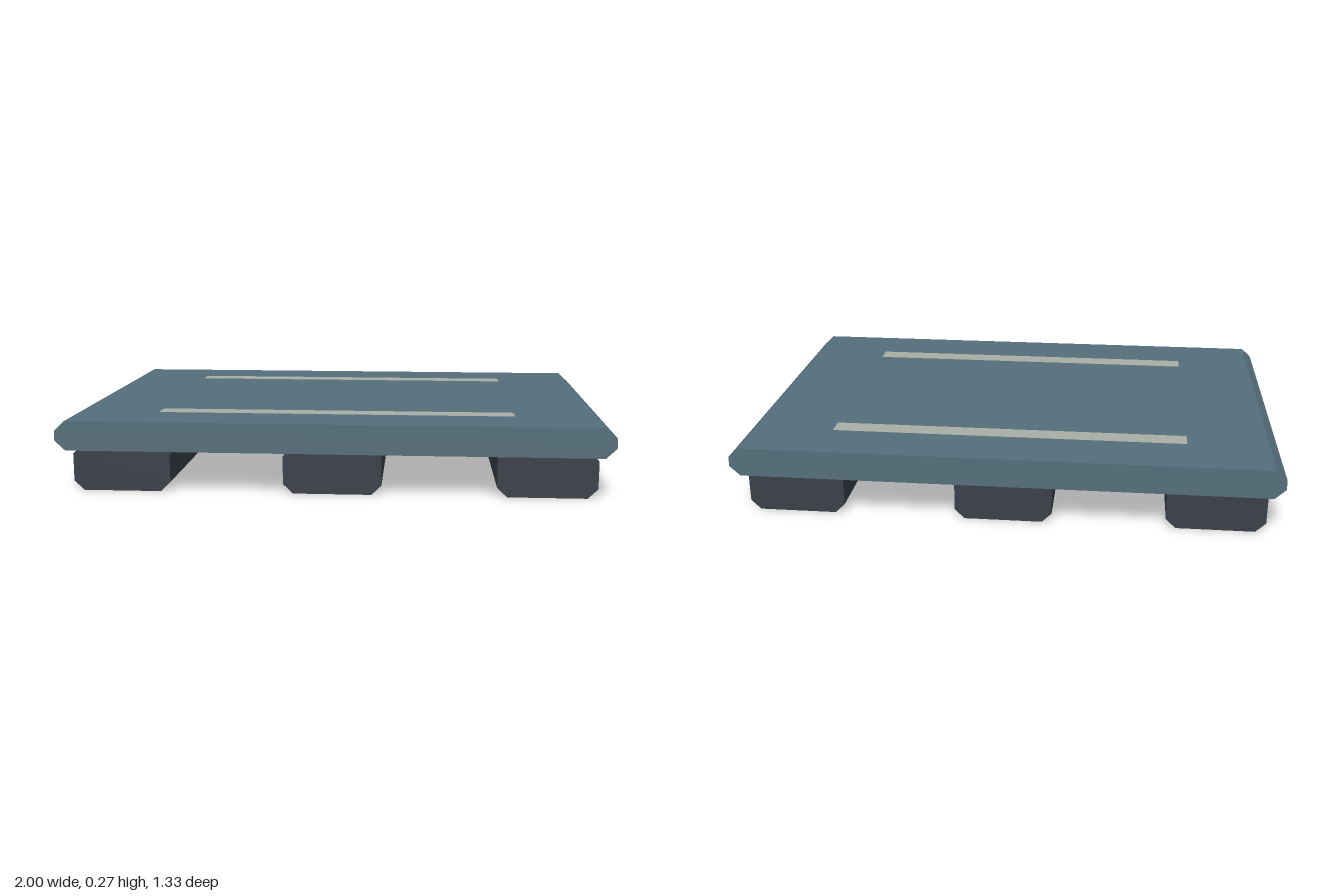
import * as THREE from 'three';

const paint = (name, color) => {
  const m = new THREE.MeshStandardMaterial({ color });
  m.name = name;
  return m;
};

// Bar running along z with its four long edges chamfered
function chamferedBar(name, material, width, y0, y1, depth, cx, cy) {
  const w = width / 2;
  const s = new THREE.Shape([
    [-w + cx, y0], [w - cx, y0], [w, y0 + cy], [w, y1 - cy],
    [w - cx, y1], [-w + cx, y1], [-w, y1 - cy], [-w, y0 + cy],
  ].map(([x, y]) => new THREE.Vector2(x, y)));
  const geo = new THREE.ExtrudeGeometry(s, { depth, bevelEnabled: false });
  geo.translate(0, 0, -depth / 2);
  const mesh = new THREE.Mesh(geo, material);
  mesh.name = name;
  return mesh;
}

export function createModel() {
  const group = new THREE.Group();
  group.name = 'pallet';
  const deckBlue = paint('slate blue', 0x546e7a);
  const runnerGrey = paint('charcoal', 0x3a3f47);
  const stripGrey = paint('pale grey', 0xa8aea6);

  // Deck slab
  group.add(chamferedBar('deck', deckBlue, 2, 0.157, 0.265, 1.333, 0.038, 0.036));

  // Three runners, their tops sunk slightly into the deck
  for (const x of [-0.77, 0, 0.77]) {
    const runner = chamferedBar('runner', runnerGrey, 0.357, 0, 0.17, 1.24, 0.036, 0.035);
    runner.position.x = x;
    group.add(runner);
  }

  // Grip strips set almost flush with the deck top
  for (const z of [-0.427, 0.427]) {
    const strip = new THREE.Mesh(new THREE.BoxGeometry(1.325, 0.006, 0.073), stripGrey);
    strip.name = 'gripStrip';
    strip.position.set(0, 0.263, z);
    group.add(strip);
  }
  return group;
}
